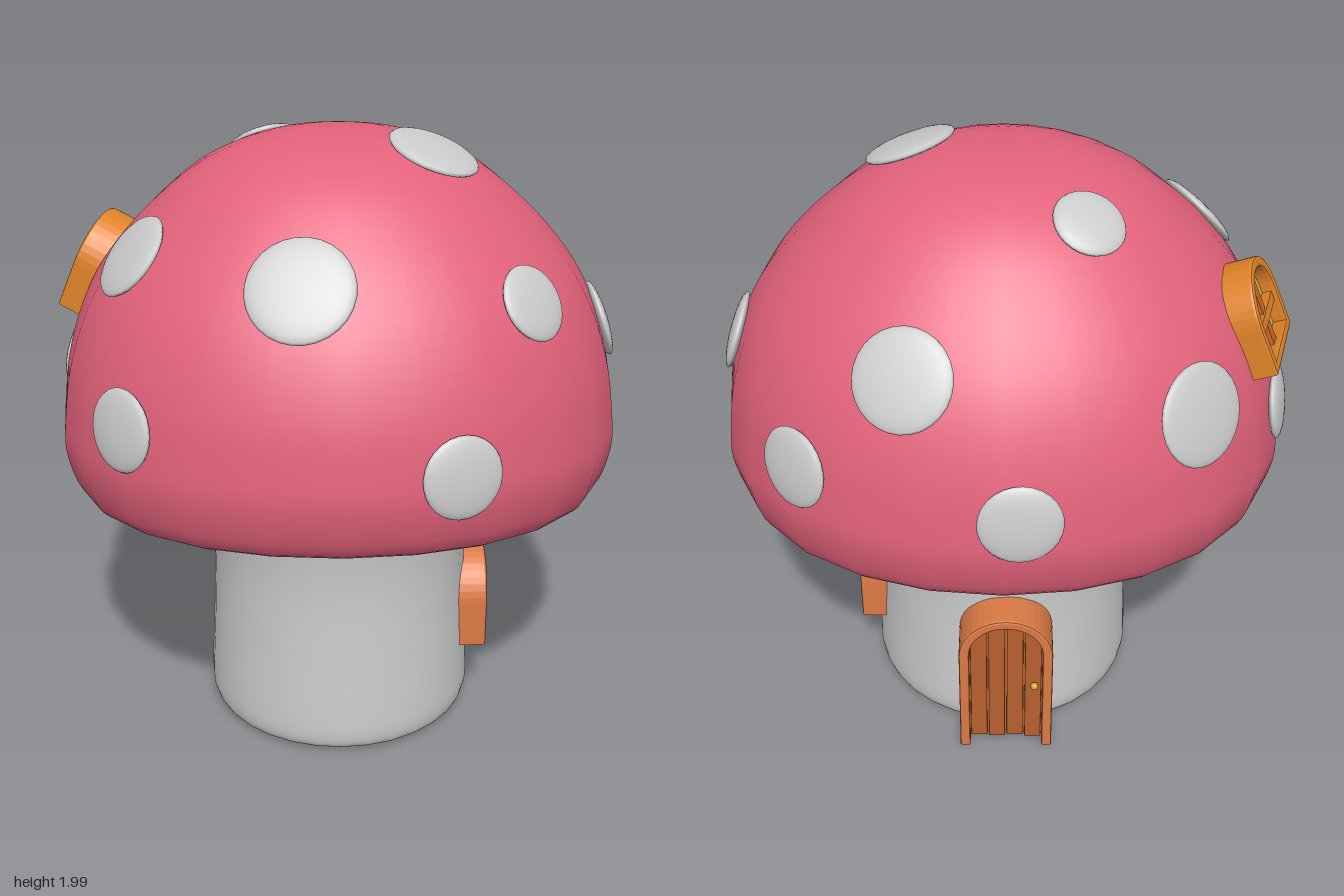
import * as THREE from 'three';
import { mergeVertices } from 'three/addons/utils/BufferGeometryUtils.js';

const V2 = (x, y) => new THREE.Vector2(x, y);
const paint = (color) => new THREE.MeshStandardMaterial({ color });
const plain = paint(0xcccccc), red = paint(0xe3627b), gold = paint(0xd8a83c);
const wood = paint(0xdb7a45), darkWood = paint(0xb8602f), pane = paint(0xd2d596);
const amber = paint(0xe08328), amberDark = paint(0xc8692a), amberPane = paint(0xc4c04c);

function add(parent, name, geometry, material, x = 0, y = 0, z = 0) {
  const mesh = new THREE.Mesh(geometry, material);
  mesh.name = name;
  mesh.position.set(x, y, z);
  parent.add(mesh);
  return mesh;
}

// Welds a lathe so its normals stay smooth across seam and poles
function weld(geometry) {
  geometry.deleteAttribute('uv');
  geometry.deleteAttribute('normal');
  const welded = mergeVertices(geometry, 1e-4);
  welded.computeVertexNormals();
  return welded;
}

// Oval cap whose rim dips at the two sides
const CAP_Z = 0.9;
function bend(p) {
  const fade = THREE.MathUtils.smoothstep(1.6 - p.y, 0, 0.7);
  p.y -= 0.045 * (p.x * p.x - p.z * p.z) * fade;
  p.z *= CAP_Z;
  return p;
}
const capProfile = new THREE.SplineCurve([
  V2(0.77, 0.83), V2(0.855, 0.88), V2(0.9, 1.02), V2(0.893, 1.15), V2(0.865, 1.3),
  V2(0.805, 1.46), V2(0.72, 1.6), V2(0.59, 1.745), V2(0.42, 1.88), V2(0.22, 1.96), V2(0, 1.98),
]);

function makeCap() {
  const points = [V2(0, 0.84), V2(0.3, 0.84), V2(0.45, 0.838), V2(0.62, 0.832), V2(0.7, 0.829), ...capProfile.getPoints(40)];
  const geometry = new THREE.LatheGeometry(points, 24);
  const pos = geometry.attributes.position, p = new THREE.Vector3();
  for (let i = 0; i < pos.count; i++) {
    bend(p.fromBufferAttribute(pos, i));
    pos.setXYZ(i, p.x, p.y, p.z);
  }
  return weld(geometry);
}

// Point on the cap at profile parameter t and angle a
function capPoint(t, a) {
  const q = capProfile.getPoint(THREE.MathUtils.clamp(t, 0, 1));
  return bend(new THREE.Vector3(q.x * Math.cos(a), q.y, q.x * Math.sin(a)));
}

// Shallow lens laid on the cap nearest to the given point
function addSpot(parent, [x, y, z, r]) {
  const a = Math.atan2(z / CAP_Z, x), target = new THREE.Vector3(x, y, z);
  let t = 0, best = Infinity;
  for (let i = 0; i <= 400; i++) {
    const d = capPoint(i / 400, a).distanceTo(target);
    if (d < best) { best = d; t = i / 400; }
  }
  const e = 0.01;
  const up = capPoint(t + e, a).sub(capPoint(t - e, a));
  const around = capPoint(t, a + e).sub(capPoint(t, a - e));
  const normal = up.cross(around).normalize();
  if (normal.dot(target.clone().setY(y - 0.9)) < 0) normal.negate();
  const spot = add(parent, 'spot', new THREE.SphereGeometry(1, 28, 12), plain);
  spot.position.copy(capPoint(t, a)).addScaledVector(normal, 0.001);
  spot.quaternion.setFromUnitVectors(new THREE.Vector3(0, 1, 0), normal);
  spot.scale.set(r, 0.025, r);
}

// Outline points of a round-topped opening, from bottom right over the top to bottom left
function arch(w, h, y0 = 0) {
  const r = w / 2, points = [V2(r, y0)];
  for (let i = 0; i <= 20; i++) {
    const a = (i / 20) * Math.PI;
    points.push(V2(r * Math.cos(a), h - r + r * Math.sin(a)));
  }
  points.push(V2(-r, y0));
  return points;
}
function extrude(shape, depth, bevel = 0) {
  return new THREE.ExtrudeGeometry(shape, {
    depth: depth - bevel, steps: 1, bevelEnabled: bevel > 0, bevelThickness: bevel,
    bevelSize: bevel, bevelOffset: -bevel, bevelSegments: 2,
  });
}

// Arched window, back at z = 0, facing +z
function makeWindow(name, depth, frameMat, barMat, glassMat) {
  const g = new THREE.Group();
  g.name = name;
  const w = 0.31, h = 0.31, t = 0.032;
  const frame = new THREE.Shape(arch(w, h));
  frame.holes.push(new THREE.Path(arch(w - 2 * t, h - t, t)));
  add(g, 'windowFrame', extrude(frame, depth, 0.008), frameMat);
  add(g, 'glass', extrude(new THREE.Shape(arch(w - t, h - t / 2, t / 2)), depth - 0.045), glassMat);
  add(g, 'uprightBar', new THREE.BoxGeometry(0.042, h - t, 0.04), barMat, 0, h / 2, depth - 0.042);
  add(g, 'crossBar', new THREE.BoxGeometry(w - t, 0.032, 0.04), frameMat, 0, 0.125, depth - 0.036);
  return g;
}

// Arched plank door, back at z = 0, facing +z
function makeDoor() {
  const g = new THREE.Group();
  g.name = 'door';
  const w = 0.31, h = 0.575, t = 0.034, depth = 0.175;
  const inner = w - 2 * t, r = inner / 2;
  const frame = new THREE.Shape([...arch(w, h), ...arch(inner, h - t).reverse()]);
  add(g, 'doorFrame', extrude(frame, depth, 0.008), wood);
  add(g, 'doorBacking', extrude(new THREE.Shape(arch(inner + 0.01, h - t + 0.005, 0.015)), 0.125), darkWood);
  const count = 4, pw = inner / count;
  for (let i = 0; i < count; i++) {
    const x0 = -r + i * pw + 0.003, x1 = x0 + pw - 0.006;
    const points = [V2(x0, 0.015), V2(x1, 0.015)];
    for (let k = 0; k <= 6; k++) {
      const x = x1 + ((x0 - x1) * k) / 6;
      points.push(V2(x, h - t - r + Math.sqrt(Math.max(0, r * r - x * x))));
    }
    add(g, 'plank', extrude(new THREE.Shape(points), 0.138 + (i % 2) * 0.006, 0.003), darkWood);
  }
  add(g, 'doorKnob', new THREE.SphereGeometry(0.013, 14, 10), gold, 0.095, 0.275, 0.163);
  return g;
}

export function createModel() {
  const model = new THREE.Group();
  model.name = 'mushroomHouse';

  // Stem with a soft foot and a slight waist
  const side = new THREE.SplineCurve([
    V2(0.4, 0.006), V2(0.432, 0.02), V2(0.446, 0.06), V2(0.446, 0.14), V2(0.436, 0.32),
    V2(0.428, 0.52), V2(0.432, 0.66), V2(0.447, 0.8), V2(0.455, 0.87),
  ]).getPoints(32);
  add(model, 'stem', weld(new THREE.LatheGeometry([V2(0, 0), V2(0.37, 0), ...side], 32)), plain, 0.003, 0, 0.01);

  // Cap and its spots: x, y, z, radius
  add(model, 'cap', makeCap(), red);
  const spots = new THREE.Group();
  spots.name = 'spots';
  model.add(spots);
  [
    [-0.12, 1.65, 0.61, 0.16], [0.57, 1.57, 0.47, 0.118], [-0.635, 1.655, 0.255, 0.14],
    [-0.665, 1.21, 0.56, 0.127], [0.34, 1.14, 0.76, 0.125], [0.285, 1.935, 0.13, 0.145],
    [0.85, 1.36, -0.01, 0.126], [-0.88, 1.2, -0.18, 0.12], [0.625, 1.235, -0.585, 0.127],
    [0.28, 1.57, -0.625, 0.152], [-0.05, 1.2, -0.79, 0.125], [-0.565, 1.4, -0.54, 0.156],
    [-0.25, 1.9, -0.305, 0.11],
  ].forEach((s) => addSpot(spots, s));

  // Window on the stem
  const stemWindow = makeWindow('stemWindow', 0.13, wood, darkWood, pane);
  stemWindow.position.set(0.37, 0.24, 0.017);
  stemWindow.rotation.y = Math.PI / 2;
  model.add(stemWindow);

  // Tilted window on the cap
  const capWindow = makeWindow('capWindow', 0.14, amber, amberDark, amberPane);
  capWindow.position.set(-0.742, 1.348, -0.16);
  capWindow.rotation.set(-0.42, -1.844, 0, 'YXZ');
  model.add(capWindow);

  // Door at the back
  const door = makeDoor();
  door.position.set(-0.01, 0.006, -0.362);
  door.rotation.y = Math.PI;
  model.add(door);

  return model;
}
